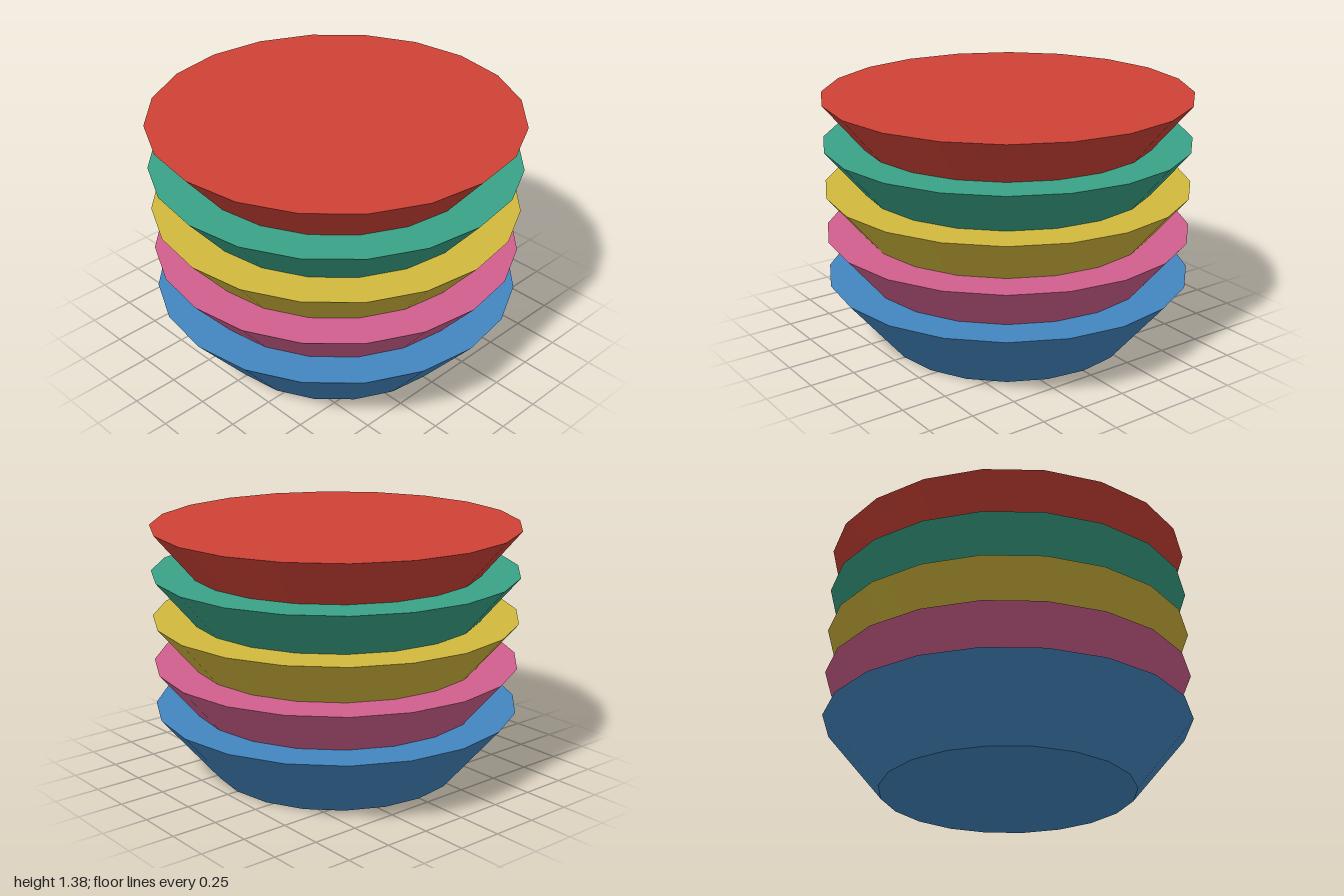
import * as THREE from 'three';

const RIM = 1, BASE = 0.6875, HEIGHT = 0.375, STEP = 0.25, SIDES = 20;

// Layers from the bottom of the stack to the top
const LAYERS = [
  ['blue', 0x4286c0],
  ['pink', 0xd15f8f],
  ['yellow', 0xd1b93c],
  ['green', 0x39a286],
  ['red', 0xcf4236],
];

export function createModel() {
  const group = new THREE.Group();
  group.name = 'bowlStack';

  // One closed, tapered bowl shared by every layer
  const bowl = new THREE.CylinderGeometry(RIM, BASE, HEIGHT, SIDES);

  LAYERS.forEach(([name, color], i) => {
    const material = new THREE.MeshStandardMaterial({ color });
    material.name = name;
    const mesh = new THREE.Mesh(bowl, material);
    mesh.name = name + 'Bowl';
    // Each bowl nests partly into the one below
    mesh.position.y = HEIGHT / 2 + i * STEP;
    group.add(mesh);
  });

  return group;
}
